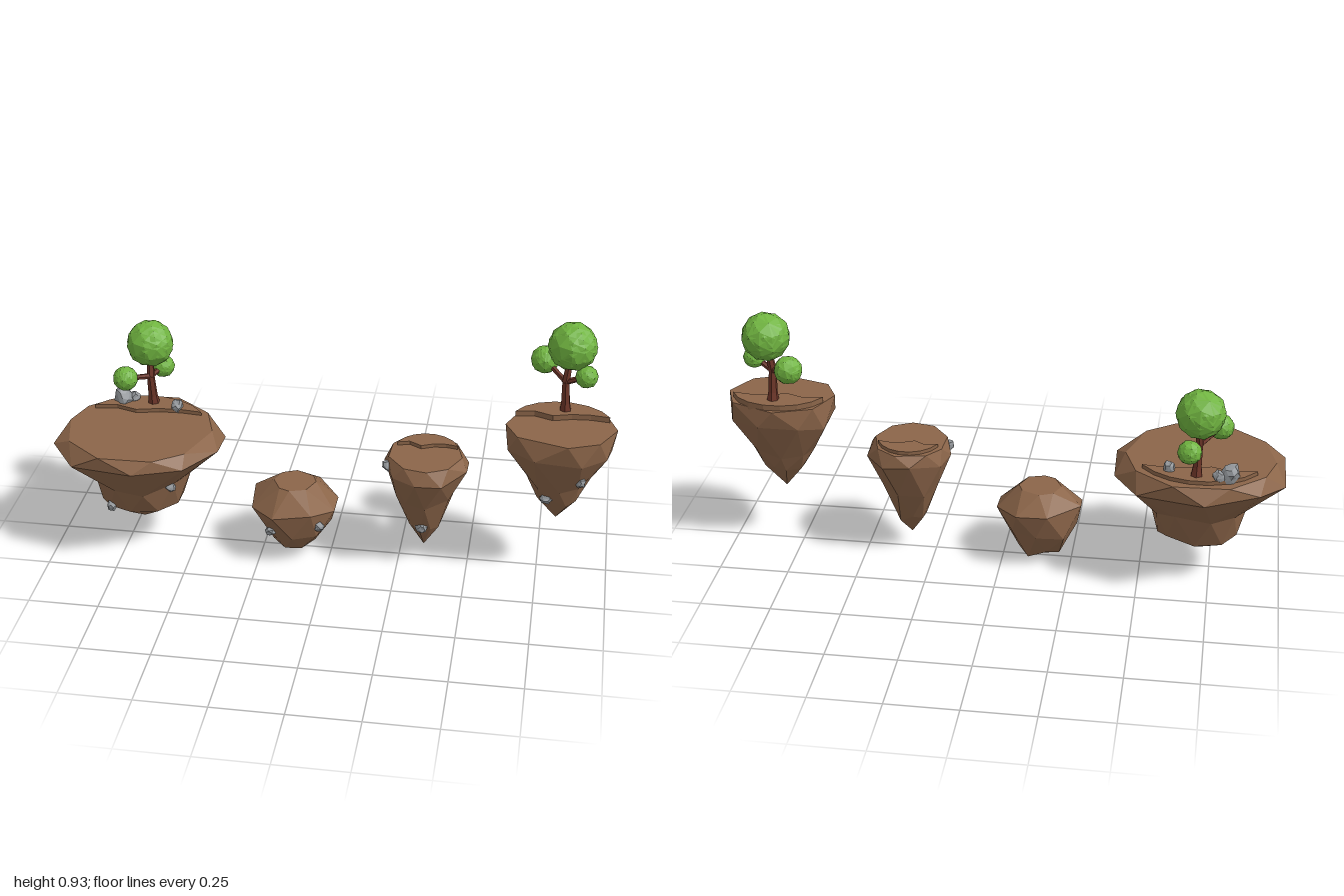
import * as THREE from 'three';

const mat = (color) => new THREE.MeshStandardMaterial({ color, flatShading: true });
const earth = mat(0x8b6549), bark = mat(0x6e3629), leaf = mat(0x70b440), stone = mat(0x92969a);

function add(parent, name, geometry, material) {
  const mesh = new THREE.Mesh(geometry, material);
  mesh.name = name;
  parent.add(mesh);
  return mesh;
}

function seeded(s) {
  return () => {
    s = (s * 16807) % 2147483647;
    return s / 2147483647;
  };
}

// Rock lofted through irregular rings, each turned half a step; the last level is the tip
function rockGeometry({ centre: [cx, cz], half: [rx, rz], levels, sides, seed }) {
  const rnd = seeded(seed * 99991);
  const loops = levels.map(([y, scale], k) => {
    const pts = [];
    for (let i = 0; i < sides; i++) {
      const a = ((i + k * 0.5 + (rnd() - 0.5) * 0.4) / sides) * Math.PI * 2;
      const lift = k && scale ? (rnd() - 0.5) * 0.035 : 0;
      pts.push(new THREE.Vector3(Math.cos(a), y + lift, Math.sin(a)));
    }
    // Fit the ring to its full width and depth
    const b = new THREE.Box3().setFromPoints(pts);
    const fit = (v, lo, hi, c, r) => THREE.MathUtils.mapLinear(v, lo, hi, c - r * scale, c + r * scale);
    return pts.map((p) => new THREE.Vector3(
      fit(p.x, b.min.x, b.max.x, cx, rx), p.y, fit(p.z, b.min.z, b.max.z, cz, rz)));
  });
  const tris = [];
  const top = new THREE.Vector3(cx, levels[0][0], cz);
  for (let i = 0; i < sides; i++) {
    const j = (i + 1) % sides;
    tris.push(top, loops[0][j], loops[0][i]);
    for (let k = 0; k < loops.length - 1; k++) {
      const a = loops[k], b = loops[k + 1];
      tris.push(a[i], a[j], b[i], a[j], b[j], b[i]);
    }
  }
  const g = new THREE.BufferGeometry().setFromPoints(tris);
  g.computeVertexNormals();
  return g;
}

// Raised step covering the back of a rock's top, with a wavy front edge
function ledgeGeometry({ centre: [cx, cz], half: [rx, rz], levels, ledge: { front, rise } }) {
  const [y, scale] = levels[0];
  const r = scale * 0.9, start = Math.asin(front / r), pts = [];
  for (let i = 0; i <= 7; i++) {
    const a = start + ((Math.PI - 2 * start) * i) / 7;
    pts.push(new THREE.Vector2(cx + rx * r * Math.cos(a), rz * r * Math.sin(a) - cz));
  }
  const edge = rx * r * Math.cos(start);
  for (let i = 1; i < 5; i++) {
    const wave = Math.sin(i * 2.2) * 0.015;
    pts.push(new THREE.Vector2(cx + edge * (i / 2.5 - 1), rz * front - cz + wave));
  }
  const g = new THREE.ExtrudeGeometry(new THREE.Shape(pts), { depth: rise + 0.01, bevelEnabled: false });
  return g.rotateX(-Math.PI / 2).translate(0, y - 0.01, 0);
}

// Faceted ball pushed in and out by a smooth wave
function lump(radius, amount, seed) {
  const g = new THREE.IcosahedronGeometry(1, 1);
  const p = g.attributes.position, v = new THREE.Vector3();
  for (let i = 0; i < p.count; i++) {
    v.fromBufferAttribute(p, i);
    const w = Math.sin(v.x * 5.1 + seed) * Math.sin(v.y * 4.3 + seed * 2) + Math.sin(v.z * 6.7 + seed * 3) * 0.6;
    v.multiplyScalar(radius * (1 + w * amount));
    p.setXYZ(i, v.x, v.y, v.z);
  }
  g.computeVertexNormals();
  return g;
}

function addStone(parent, name, position, radius, seed) {
  const m = add(parent, name, lump(radius, 0.16, seed), stone);
  m.position.set(...position);
  m.scale.set(1, 0.85, 0.8);
  m.rotation.set(seed, seed * 2, 0.3);
}

function addLimb(parent, name, from, to, r0, r1) {
  const d = to.clone().sub(from);
  const m = add(parent, name, new THREE.CylinderGeometry(r1, r0, d.length(), 6), bark);
  m.position.copy(from).add(to).multiplyScalar(0.5);
  m.quaternion.setFromUnitVectors(new THREE.Vector3(0, 1, 0), d.normalize());
}

// Levels are [height, share of the half width]; stones are [x, y] on the front
const largeIsland = {
  centre: [-0.7, 0], half: [0.3, 0.28], sides: 10, seed: 3,
  levels: [[0.45, 0.88], [0.4, 1], [0.275, 0.6], [0.165, 0.47], [0.08, 0]],
  ledge: { front: 0.43, rise: 0.014 },
  stones: [[-0.86, 0.285], [-0.79, 0.18], [-0.57, 0.28]],
};
const smallRock = {
  centre: [-0.132, 0.012], half: [0.153, 0.153], sides: 8, seed: 8,
  levels: [[0.283, 0.5], [0.215, 1], [0.13, 0.88], [0.045, 0.5], [0.002, 0]],
  stones: [[-0.205, 0.125], [-0.03, 0.16]],
};
const tallRock = {
  centre: [0.34, 0.01], half: [0.15, 0.16], sides: 9, seed: 5,
  levels: [[0.435, 0.86], [0.39, 1], [0.27, 0.7], [0.14, 0.36], [0.06, 0]],
  ledge: { front: 0.28, rise: 0.013 },
  stones: [[0.21, 0.4], [0.335, 0.165]],
};
const highIsland = {
  centre: [0.807, 0.012], half: [0.193, 0.158], sides: 8, seed: 11,
  levels: [[0.585, 1], [0.5, 0.93], [0.38, 0.58], [0.31, 0.36], [0.217, 0]],
  ledge: { front: 0.3, rise: 0.02 },
  stones: [[0.77, 0.32], [0.885, 0.415]],
};

// Leaf balls are [x, y, z, radius]; the first is the main crown
const largeIslandTree = {
  base: [-0.69, 0.45, -0.175], fork: [-0.695, 0.575, -0.165],
  leaves: [[-0.695, 0.7, -0.183, 0.086], [-0.765, 0.605, -0.075, 0.045], [-0.665, 0.582, -0.24, 0.042]],
};
const highIslandTree = {
  base: [0.815, 0.59, -0.075], fork: [0.81, 0.715, -0.07],
  leaves: [[0.825, 0.848, -0.08, 0.086], [0.732, 0.757, -0.15, 0.05], [0.88, 0.752, -0.045, 0.04]],
};

function createIsland(name, def) {
  const island = new THREE.Group();
  island.name = name;
  const rock = add(island, 'rockBody', rockGeometry(def), earth);
  if (def.ledge) add(island, 'topLedge', ledgeGeometry(def), earth);
  // Stones set into the front face
  const ray = new THREE.Raycaster();
  def.stones.forEach(([x, y], i) => {
    ray.set(new THREE.Vector3(x, y, 2), new THREE.Vector3(0, 0, -1));
    const hit = ray.intersectObject(rock)[0];
    addStone(island, 'sideStone', [x, y, hit ? hit.point.z : def.centre[1]], 0.022, def.seed + i);
  });
  return island;
}

function createTree(name, def) {
  const tree = new THREE.Group();
  tree.name = name;
  const base = new THREE.Vector3(...def.base), fork = new THREE.Vector3(...def.fork);
  const flare = base.clone().lerp(fork, 0.35);
  addLimb(tree, 'trunk', base, flare, 0.024, 0.017);
  addLimb(tree, 'trunk', flare, fork, 0.017, 0.014);
  def.leaves.forEach(([x, y, z, r], i) => {
    addLimb(tree, i ? 'branch' : 'trunk', fork, new THREE.Vector3(x, y, z), i ? 0.011 : 0.015, 0.009);
    // Two crossed faceted balls give each clump its layered plates
    for (let k = 0; k < 2; k++) {
      const m = add(tree, i ? 'leafClump' : 'crown', lump(r, 0.02, i * 2 + k), leaf);
      m.position.set(x, y, z);
      m.rotation.set(k * 0.5 + i, k * 0.8, k * 0.3 + i);
    }
  });
  return tree;
}

export function createModel() {
  const model = new THREE.Group();
  model.name = 'floatingIslands';
  model.add(
    createIsland('largeIsland', largeIsland),
    createIsland('smallRock', smallRock),
    createIsland('tallRock', tallRock),
    createIsland('highIsland', highIsland),
    createTree('largeIslandTree', largeIslandTree),
    createTree('highIslandTree', highIslandTree),
  );
  // Stones lying beside the large island's tree
  addStone(model, 'groundStone', [-0.805, 0.475, -0.175], 0.04, 1);
  addStone(model, 'groundStone', [-0.77, 0.47, -0.19], 0.026, 2);
  addStone(model, 'groundStone', [-0.595, 0.47, -0.145], 0.027, 4);
  return model;
}
